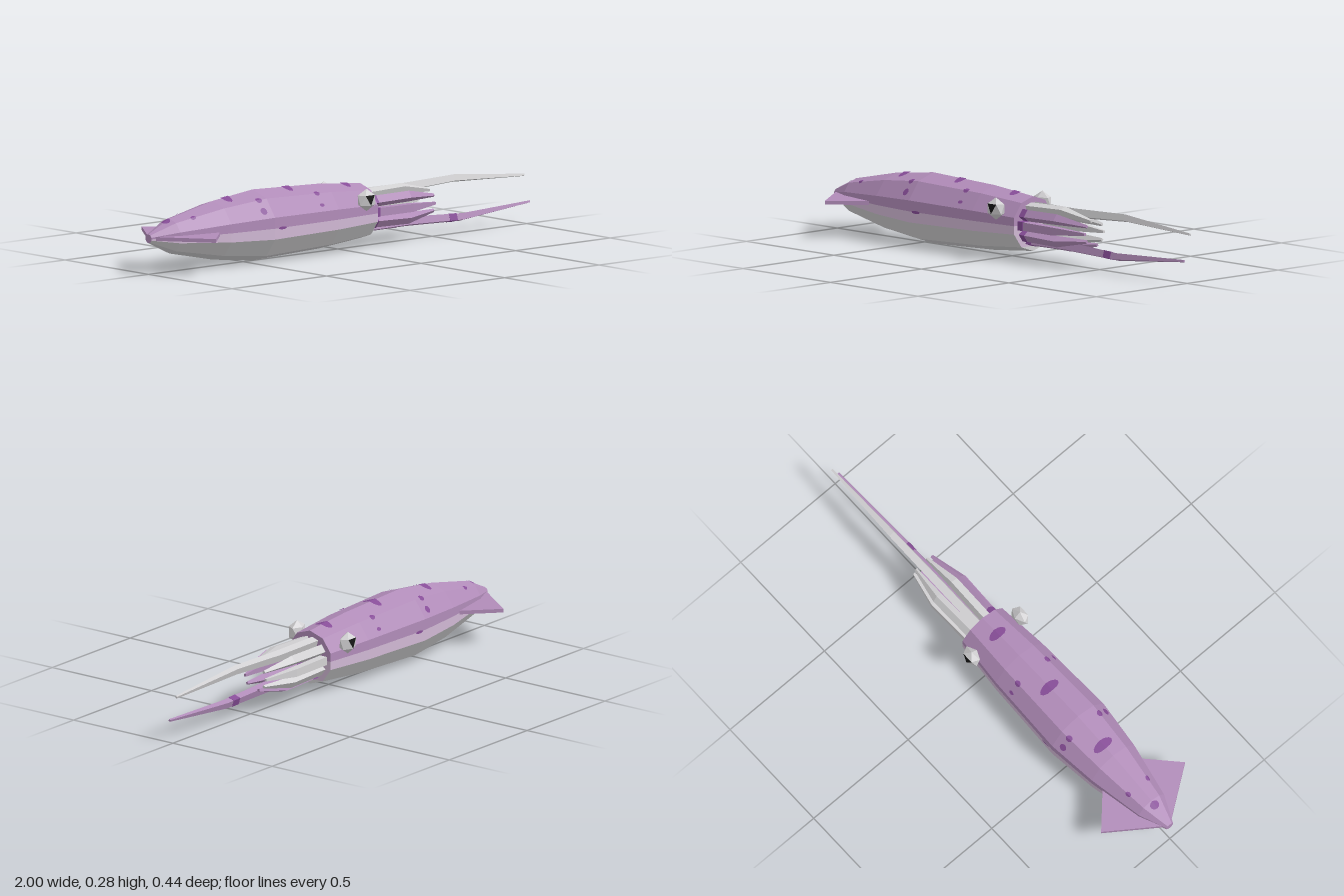
import * as THREE from 'three';

const mat = (name, color) => {
  const m = new THREE.MeshStandardMaterial({ color });
  m.name = name;
  return m;
};
const CY = 0.145;
const rad = THREE.MathUtils.degToRad;

// Body profile: [x, radius] of each ten-sided ring
const PROFILE = [[-1, 0.018], [-0.89, 0.07], [-0.66, 0.118], [-0.45, 0.1425], [-0.1, 0.13], [0.12, 0.11]];

// Linear interpolation in a list of [x, a, b...] stations
function sample(list, x, k) {
  let i = 0;
  while (i < list.length - 2 && x > list[i + 1][0]) i++;
  const t = (x - list[i][0]) / (list[i + 1][0] - list[i][0]);
  return THREE.MathUtils.lerp(list[i][k], list[i + 1][k], t);
}

// Point on the faceted body, angle in degrees from the top toward +z
function surf(x, deg, lift = 0) {
  const local = (((deg % 36) + 36) % 36) - 18;
  const r = (sample(PROFILE, x, 1) + lift) * Math.cos(rad(18)) / Math.cos(rad(local));
  return [x, CY + r * Math.cos(rad(deg)), r * Math.sin(rad(deg))];
}

// Flat-shaded geometry from a list of triangles
function fromTriangles(tris) {
  const g = new THREE.BufferGeometry();
  g.setAttribute('position', new THREE.Float32BufferAttribute(tris.flat(2), 3));
  g.computeVertexNormals();
  return g;
}

// Skin over rows of points
function skin(rows) {
  const tris = [];
  for (let i = 0; i < rows.length - 1; i++) {
    for (let j = 0; j < rows[i].length - 1; j++) {
      const a = rows[i][j], b = rows[i][j + 1], c = rows[i + 1][j], d = rows[i + 1][j + 1];
      tris.push([a, b, c], [b, d, c]);
    }
  }
  return fromTriangles(tris);
}

// Square limb: stations are [x, distance from body axis, half width]
function limbGeometry(stations, deg) {
  const c = Math.cos(rad(deg)), s = Math.sin(rad(deg));
  const ring = (x, d, h) => [45, 135, 225, 315, 405].map((k) => [
    x,
    CY + d * c + h * Math.SQRT2 * Math.cos(rad(deg + k)),
    d * s + h * Math.SQRT2 * Math.sin(rad(deg + k)),
  ]);
  const first = stations[0], last = stations[stations.length - 1];
  return skin([
    ring(first[0], first[1], 0),
    ...stations.map((p) => ring(...p)),
    ring(last[0], last[1], 0),
  ]);
}

// Elliptical skin marking that follows the body facets
function spotGeometry(x, deg, rx, rz) {
  const spread = rz / sample(PROFILE, x, 1) * 180 / Math.PI;
  const rim = [];
  for (let i = 0; i <= 12; i++) {
    const t = i / 12 * Math.PI * 2;
    rim.push(surf(x + rx * Math.cos(t), deg + spread * Math.sin(t), 0.003));
  }
  const mid = surf(x, deg, 0.003);
  return fromTriangles(rim.slice(0, -1).map((p, i) => [mid, rim[i + 1], p]));
}

export function createModel() {
  const group = new THREE.Group();
  const purple = mat('purple skin', 0xb18cb9);
  const lavender = mat('lavender flank', 0xd0b8d4);
  const pale = mat('pale underside', 0xd2d1d3);
  const dark = mat('dark purple marking', 0x874d98);
  const black = mat('black pupil', 0x161616);
  const add = (name, geometry, material) => {
    const m = new THREE.Mesh(geometry, material);
    m.name = name;
    group.add(m);
    return m;
  };

  // Mantle in lengthwise colour bands
  const band = (name, angles, material) =>
    add(name, skin(PROFILE.map(([x]) => angles.map((a) => surf(x, a)))), material);
  band('mantleBack', [-90, -72, -36, 0, 36, 72, 90], purple);
  band('mantleLeftFlank', [90, 108], lavender);
  band('mantleRightFlank', [-108, -90], lavender);
  band('mantleBelly', [108, 144, 180, 216, 252], pale);

  // Flat ends of the mantle
  const endFace = (name, x, angles, material, flip) => add(name, skin(angles.map((a) =>
    (flip ? [surf(x, a), surf(x, -a)] : [surf(x, -a), surf(x, a)]))), material);
  endFace('headFaceUpper', 0.12, [0, 36, 72, 90], purple);
  endFace('headFaceMiddle', 0.12, [90, 108, 144], lavender);
  endFace('headFaceLower', 0.12, [144, 180], pale);
  endFace('tailTip', -1, [0, 36, 72, 108, 144, 180], purple, true);

  // Tail fins
  for (const s of [1, -1]) {
    const shape = new THREE.Shape([[-1, 0], [-0.84, 0.222 * s], [-0.7, 0.09 * s], [-0.7, 0]]
      .map((p) => new THREE.Vector2(...p)));
    const g = new THREE.ExtrudeGeometry(shape, { depth: 0.015, bevelEnabled: false });
    g.rotateX(Math.PI / 2);
    g.translate(0, 0.153, 0);
    add(s > 0 ? 'frontFin' : 'rearFin', g, purple);
  }

  // Eight arms and two long tentacles in one ring
  const arm = [[0.11, 0.068, 0.017], [0.32, 0.075, 0.016], [0.47, 0.052, 0.005]];
  const tentacle = [[0.11, 0.07, 0.016], [0.35, 0.068, 0.016], [0.63, 0.079, 0.013], [1, 0.054, 0.004]];
  const sleeve = (name, path, deg, x0, x1) => add(name, limbGeometry([x0, x1].map((x) =>
    [x, sample(path, x, 1), sample(path, x, 2) + 0.001]), deg), dark);
  for (let k = 0; k < 10; k++) {
    const deg = 18 + 36 * k;
    const isPurple = deg > 50 && deg < 200;
    const path = deg === 162 || deg === 342 ? tentacle : arm;
    add(path === arm ? 'arm' : 'tentacle', limbGeometry(path, deg), isPurple ? purple : pale);
    if (isPurple) sleeve('limbBaseMarking', path, deg, 0.121, 0.15);
    if (isPurple && path === tentacle) sleeve('tentacleMarking', path, deg, 0.56, 0.6);
  }

  // Faceted eyes, with the outward facet as the pupil
  const eye = new THREE.IcosahedronGeometry(1, 0);
  eye.rotateZ(Math.atan((1 + Math.sqrt(5)) / 2 ** 1) * -1 + Math.PI / 2);
  eye.rotateY(rad(-18));
  const p = eye.attributes.position;
  let best = 0, bestZ = -9;
  for (let i = 0; i < p.count; i += 3) {
    const z = p.getZ(i) + p.getZ(i + 1) + p.getZ(i + 2);
    const y = p.getY(i) + p.getY(i + 1) + p.getY(i + 2);
    if (y > 0 && z > bestZ) { bestZ = z; best = i; }
  }
  eye.addGroup(0, best, 0);
  eye.addGroup(best, 3, 1);
  eye.addGroup(best + 3, p.count - best - 3, 0);
  eye.scale(0.046, 0.045, 0.031);
  eye.computeVertexNormals();
  for (const s of [1, -1]) {
    const m = add(s > 0 ? 'frontEye' : 'rearEye', eye, [pale, black]);
    m.position.set(0.04, 0.21, 0.128 * s);
    if (s < 0) m.rotation.y = Math.PI;
  }

  // Skin markings along the back
  for (const [x, rx, rz] of [[-0.91, 0.016, 0.02], [-0.6, 0.02, 0.048], [-0.28, 0.02, 0.048], [0.03, 0.02, 0.042]]) {
    add('backSpot', spotGeometry(x, 0, rx, rz), dark);
  }
  // Paired markings on both sides
  for (const [x, deg, rx, rz] of [[-0.81, 36, 0.012, 0.01], [-0.49, 36, 0.014, 0.014],
    [-0.49, 58, 0.015, 0.016], [-0.18, 36, 0.014, 0.012], [-0.18, 60, 0.012, 0.008], [-0.41, 90, 0.022, 0.006]]) {
    for (const s of [1, -1]) add('sideSpot', spotGeometry(x, deg * s, rx, rz), dark);
  }
  return group;
}
